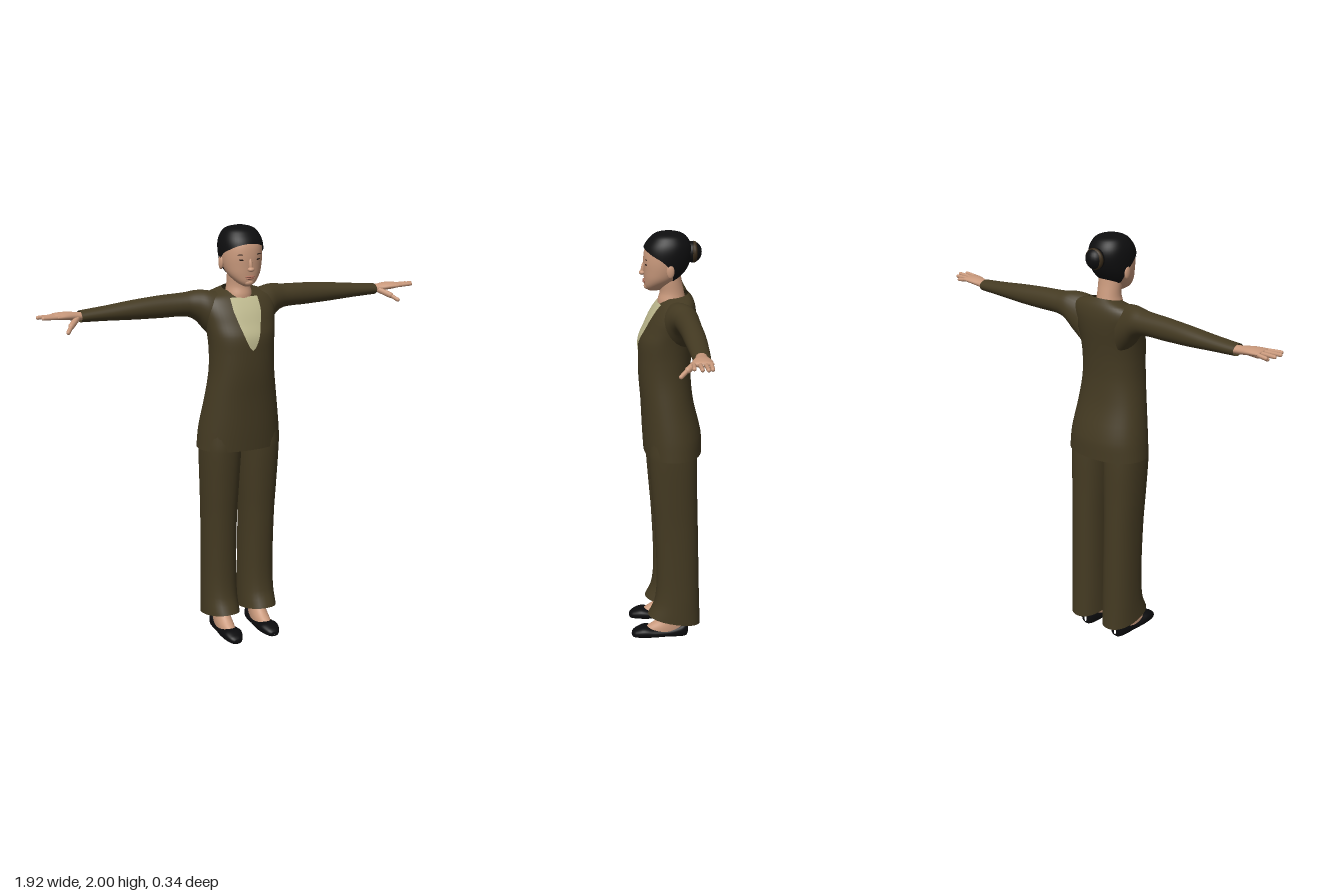
import * as THREE from 'three';

const mat = (name, color, double) => {
  const m = new THREE.MeshStandardMaterial({ color });
  m.name = name;
  if (double) m.side = THREE.DoubleSide;
  return m;
};

// Smooth interpolation of a section table [key, aMin, aMax, bMin, bMax, tilt]
function sectionAt(S, k) {
  let i = 0;
  while (i < S.length - 2 && k > S[i + 1][0]) i++;
  const h = S[i + 1][0] - S[i][0];
  const f = Math.min(1, Math.max(0, (k - S[i][0]) / h));
  const slope = (j, c) => {
    const p = S[Math.max(0, j - 1)], q = S[Math.min(S.length - 1, j + 1)];
    return ((q[c] || 0) - (p[c] || 0)) / (q[0] - p[0]);
  };
  return [0, 1, 2, 3, 4, 5].map(c => {
    if (c === 0) return k;
    const p = S[i][c] || 0, q = S[i + 1][c] || 0;
    const f2 = f * f, f3 = f2 * f;
    return (2 * f3 - 3 * f2 + 1) * p + (f3 - 2 * f2 + f) * h * slope(i, c)
      + (3 * f2 - 2 * f3) * q + (f3 - f2) * h * slope(i + 1, c);
  });
}

// Point on the rounded section at a key; e below 1 makes it boxier
function pointAt(S, k, angle, axis = 'y', e = 1) {
  const [, a0, a1, b0, b1, tilt] = sectionAt(S, k);
  const pw = v => Math.sign(v) * Math.pow(Math.abs(v), e);
  const a = (a0 + a1) / 2 + (a1 - a0) / 2 * pw(Math.cos(angle));
  const db = (b1 - b0) / 2 * pw(Math.sin(angle)), b = (b0 + b1) / 2 + db;
  if (axis === 'y') return [a, k + tilt * db, b];
  return axis === 'x' ? [k, b, a] : [a, b, k];
}

// Grid surface from rows of points, wound to face outwards
function surface(rows, closed) {
  const n = rows[0].length, pos = rows.flat(2), idx = [];
  for (let j = 0; j < rows.length - 1; j++)
    for (let i = 0; i < (closed ? n : n - 1); i++) {
      const a = j * n + i, b = j * n + (i + 1) % n;
      idx.push(a, b, a + n, b, b + n, a + n);
    }
  const v = i => new THREE.Vector3().fromArray(pos, i * 3);
  const mid = new THREE.Vector3();
  for (let i = 0; i < pos.length / 3; i++) mid.addScaledVector(v(i), 3 / pos.length);
  let out = 0;
  for (let t = 0; t < idx.length; t += 3) {
    const [a, b, c] = [v(idx[t]), v(idx[t + 1]), v(idx[t + 2])];
    out += b.sub(a).cross(c.sub(a)).dot(a.sub(mid));
  }
  if (out < 0) idx.reverse();
  const g = new THREE.BufferGeometry();
  g.setAttribute('position', new THREE.Float32BufferAttribute(pos, 3));
  g.setIndex(idx);
  g.computeVertexNormals();
  return g;
}

function loft(S, { axis = 'y', e = 1, n = 32, side = 1, steps = 4 } = {}) {
  const rows = [];
  for (let i = 0; i < S.length - 1; i++)
    for (let s = i ? 1 : 0; s <= steps; s++) {
      const k = S[i][0] + (S[i + 1][0] - S[i][0]) * s / steps;
      rows.push(Array.from({ length: n }, (_, u) => {
        const p = pointAt(S, k, u / n * Math.PI * 2, axis, e);
        return [p[0] * side, p[1], p[2]];
      }));
    }
  return surface(rows, true);
}

const sym = rows => rows.map(([k, w, b0, b1, t = 0]) => [k, -w, w, b0, b1, t]);

// Section tables: key, half width, back, front, tilt
const TORSO = sym([[0.955, 0.206, -0.172, 0.1], [1.05, 0.197, -0.168, 0.106], [1.2, 0.174, -0.133, 0.113],
  [1.32, 0.157, -0.12, 0.122], [1.42, 0.154, -0.122, 0.123], [1.5, 0.16, -0.13, 0.118], [1.56, 0.17, -0.138, 0.092],
  [1.61, 0.18, -0.142, 0.068], [1.65, 0.18, -0.14, 0.042], [1.68, 0.155, -0.13, 0.022, -0.08], [1.705, 0.07, -0.108, 0, -0.2]]);
const HEAD = sym([[1.728, 0.014, 0.02, 0.075], [1.745, 0.042, 0, 0.09], [1.78, 0.073, -0.05, 0.094],
  [1.82, 0.088, -0.09, 0.096], [1.87, 0.095, -0.112, 0.097], [1.92, 0.093, -0.115, 0.089],
  [1.955, 0.079, -0.1, 0.066], [1.98, 0.052, -0.07, 0.034], [1.993, 0.004, -0.02, -0.012]]);
const HAIR = HEAD.map(([k, a0, a1, b0, b1]) => [1.728 + (k - 1.728) * 1.026, a0 - 0.006, a1 + 0.006, b0 - 0.007, b1 + 0.006]);
HAIR[HAIR.length - 1] = [2, -0.001, 0.001, -0.016, -0.014];
const NECK = sym([[1.63, 0.068, -0.09, 0.03], [1.68, 0.063, -0.095, 0.032], [1.72, 0.056, -0.088, 0.022],
  [1.77, 0.056, -0.078, 0.025], [1.83, 0.056, -0.07, 0.03]]);
// Arm and palm: x, back, front, bottom, top
const ARM = [[0.11, -0.125, 0.03, 1.46, 1.695], [0.16, -0.132, 0.015, 1.515, 1.703], [0.2, -0.134, -0.005, 1.562, 1.703],
  [0.25, -0.132, -0.02, 1.585, 1.696], [0.37, -0.13, -0.032, 1.588, 1.691], [0.5, -0.131, -0.036, 1.592, 1.681],
  [0.63, -0.126, -0.04, 1.599, 1.667], [0.755, -0.119, -0.043, 1.604, 1.656]];
const PALM = [[0.73, -0.106, -0.058, 1.612, 1.648], [0.775, -0.108, -0.05, 1.615, 1.652], [0.82, -0.116, -0.034, 1.622, 1.657],
  [0.86, -0.117, -0.026, 1.628, 1.656], [0.876, -0.112, -0.032, 1.634, 1.652], [0.88, -0.075, -0.07, 1.642, 1.644]];
// Trouser leg and foot: y, inner, outer, back, front, tilt
const LEG = [[0.1, 0.014, 0.185, -0.165, 0.09, 0.2], [0.2, 0.016, 0.182, -0.16, 0.056, 0.05], [0.35, 0.018, 0.18, -0.156, 0.048],
  [0.6, 0.018, 0.182, -0.15, 0.058], [0.75, 0.012, 0.188, -0.146, 0.07], [0.95, 0.003, 0.195, -0.142, 0.084], [1.03, 0, 0.19, -0.13, 0.08]];
const FOOT = [[0.025, 0.058, 0.136, -0.092, 0.13], [0.055, 0.058, 0.136, -0.094, 0.098], [0.085, 0.06, 0.134, -0.09, 0.052],
  [0.13, 0.064, 0.132, -0.085, 0.01], [0.22, 0.06, 0.136, -0.085, 0.005]];
// Shoe: z, inner, outer, bottom, top
const SHOE = [[-0.106, 0.09, 0.104, 0.015, 0.065], [-0.098, 0.066, 0.128, 0.002, 0.076], [-0.06, 0.056, 0.138, 0, 0.062],
  [0, 0.054, 0.14, 0.003, 0.048], [0.06, 0.048, 0.146, 0.003, 0.05], [0.11, 0.05, 0.146, 0.003, 0.058],
  [0.15, 0.065, 0.134, 0.004, 0.045], [0.168, 0.08, 0.118, 0.008, 0.032], [0.172, 0.097, 0.099, 0.018, 0.02]];

export function createModel() {
  const root = new THREE.Group();
  const skin = mat('skin', 0xc9997c);
  const suit = mat('olive suit', 0x443a22, true);
  const shirt = mat('pale shirt', 0xbfba8f, true);
  const hair = mat('black hair', 0x0e0e0f, true);
  const shoe = mat('black shoe', 0x0b0b0d);
  const lip = mat('lips', 0xad705c);
  const eye = mat('dark eyes', 0x2e201a);
  const net = mat('brown hair band', 0x3a2c1a);

  const add = (name, geo, material, parent = root) => {
    const m = new THREE.Mesh(geo, material);
    m.name = name;
    parent.add(m);
    return m;
  };
  const blob = (name, p, s, material, parent, rz = 0) => {
    const m = add(name, new THREE.SphereGeometry(1, 20, 14), material, parent);
    m.position.set(...p);
    m.scale.set(...s);
    m.rotation.z = rz;
    return m;
  };
  const finger = (name, a, b, r, parent) => {
    const A = new THREE.Vector3(...a), d = new THREE.Vector3(...b).sub(A), len = d.length();
    const m = add(name, new THREE.CapsuleGeometry(r, len, 5, 10), skin, parent);
    m.position.copy(A).addScaledVector(d, 0.5);
    m.quaternion.setFromUnitVectors(new THREE.Vector3(0, 1, 0), d.normalize());
  };

  // Jacket and the shirt panel in its V neckline
  add('jacket', loft(TORSO, { e: 0.9, n: 48 }), suit);
  const rows = [];
  for (let j = 0; j <= 20; j++) {
    const t = j / 20, y = 1.44 + 0.238 * t;
    const w = 0.068 * Math.min(1, Math.pow(t, 0.62) * 1.2) + 0.001;
    rows.push(Array.from({ length: 13 }, (_, i) => {
      const x = (i / 6 - 1) * w, hw = sectionAt(TORSO, y)[2];
      const angle = Math.acos(Math.sign(x) * Math.pow(Math.abs(x) / hw, 1 / 0.9));
      const p = pointAt(TORSO, y, angle, 'y', 0.9);
      return [p[0], p[1], p[2] + 0.005];
    }));
  }
  add('shirt', surface(rows, false), shirt);

  // Neck, head and face
  const head = new THREE.Group();
  head.name = 'head';
  root.add(head);
  add('neck', loft(NECK), skin, head);
  add('face', loft(HEAD, { e: 0.94, n: 40 }), skin, head);
  blob('noseBridge', [0, 1.833, 0.095], [0.009, 0.032, 0.012], skin, head).rotation.x = -0.2;
  blob('noseTip', [0, 1.81, 0.102], [0.016, 0.011, 0.015], skin, head);
  blob('upperLip', [0, 1.776, 0.092], [0.025, 0.005, 0.009], lip, head);
  blob('lowerLip', [0, 1.768, 0.091], [0.02, 0.006, 0.009], lip, head);
  blob('chin', [0, 1.748, 0.078], [0.024, 0.016, 0.017], skin, head);
  for (const s of [-1, 1]) {
    blob('eye', [s * 0.038, 1.853, 0.087], [0.015, 0.004, 0.005], eye, head, s * 0.12);
    blob('brow', [s * 0.04, 1.876, 0.087], [0.02, 0.0025, 0.004], eye, head, s * 0.08);
    blob('ear', [s * 0.094, 1.832, -0.018], [0.01, 0.032, 0.018], skin, head);
  }

  // Hair cap with a hairline that falls from the brow to the nape, and a bun
  const line = new THREE.CatmullRomCurve3([[-1, 1.775], [-0.5, 1.785], [-0.1, 1.835], [0.2, 1.875], [0.6, 1.9], [1, 1.925]]
    .map(([x, y]) => new THREE.Vector3(x, y, 0)));
  const cap = [];
  for (let j = 0; j <= 20; j++)
    cap.push(Array.from({ length: 48 }, (_, u) => {
      const a = u / 48 * Math.PI * 2, t = 1 - Math.pow(1 - j / 20, 2);
      const y0 = line.getPoint((Math.sin(a) + 1) / 2).y;
      return pointAt(HAIR, y0 + (2 - y0) * t, a, 'y', 0.94);
    }));
  add('hair', surface(cap, true), hair, head);
  blob('bun', [0, 1.9, -0.125], [0.046, 0.048, 0.044], hair, head);
  const band = add('bunBand', new THREE.TorusGeometry(0.036, 0.013, 10, 28), net, head);
  band.position.set(0, 1.9, -0.133);

  // Arms, hands, legs and feet on both sides
  for (const s of [-1, 1]) {
    const arm = new THREE.Group(), leg = new THREE.Group();
    arm.name = s > 0 ? 'leftArm' : 'rightArm';
    leg.name = s > 0 ? 'leftLeg' : 'rightLeg';
    root.add(arm, leg);
    add('sleeve', loft(ARM, { axis: 'x', side: s }), suit, arm);
    add('palm', loft(PALM, { axis: 'x', side: s, n: 20 }), skin, arm);
    const tips = [[0.912, 1.634, -0.106], [0.941, 1.641, -0.086], [0.952, 1.646, -0.06], [0.936, 1.646, -0.03]];
    tips.forEach((p, i) => finger('finger', [s * 0.855, 1.642, -0.106 + i * 0.023], [s * p[0], p[1], p[2]], 0.0088, arm));
    finger('thumbBase', [s * 0.775, 1.625, -0.06], [s * 0.815, 1.603, -0.018], 0.014, arm);
    finger('thumb', [s * 0.812, 1.605, -0.02], [s * 0.84, 1.583, 0.012], 0.0095, arm);
    add('trouserLeg', loft(LEG, { side: s, e: 0.9 }), suit, leg);
    add('foot', loft(FOOT, { side: s }), skin, leg);
    add('shoe', loft(SHOE, { axis: 'z', side: s, e: 0.8 }), shoe, leg);
  }
  return root;
}
